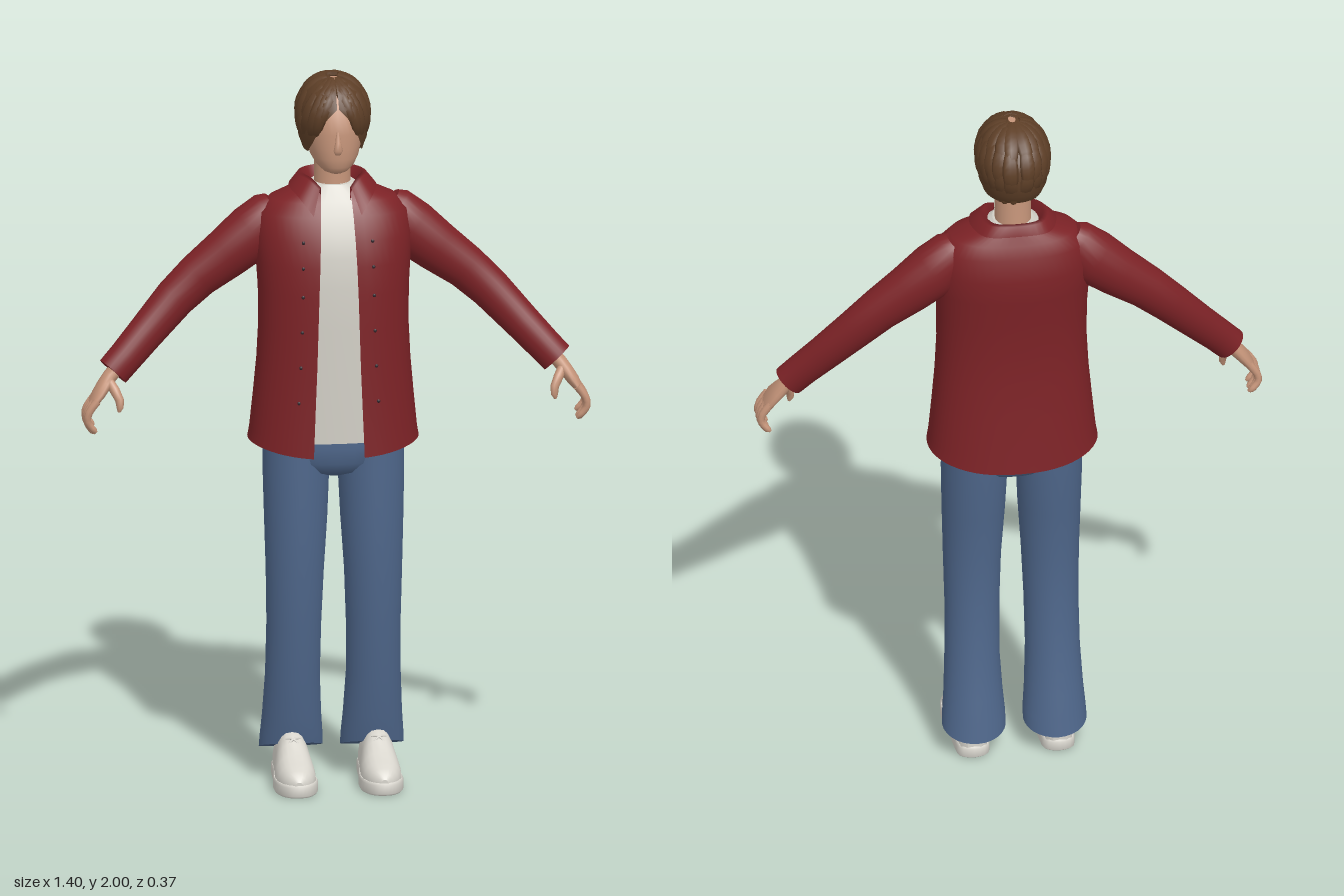
import * as THREE from 'three';

const V = (x, y, z) => new THREE.Vector3(x, y, z);
const mat = (name, color, side = THREE.FrontSide) => {
  const m = new THREE.MeshStandardMaterial({ color, side });
  m.name = name;
  return m;
};

// Skin a list of rings; closed rings get end caps and are turned outward by their signed volume
function loft(rings, closed = true) {
  const n = rings[0].length, pts = rings.flat(), idx = [];
  const cols = closed ? n : n - 1;
  for (let i = 0; i < rings.length - 1; i++)
    for (let j = 0; j < cols; j++) {
      const a = i * n + j, b = i * n + (j + 1) % n, c = a + n, d = b + n;
      idx.push(a, b, c, b, d, c);
    }
  if (closed) {
    [0, rings.length - 1].forEach((r, k) => {
      const base = pts.length, mid = V(0, 0, 0);
      rings[r].forEach(p => { mid.addScaledVector(p, 1 / n); pts.push(p.clone()); });
      pts.push(mid);
      for (let j = 0; j < n; j++) {
        const a = base + j, b = base + (j + 1) % n;
        k ? idx.push(a, b, base + n) : idx.push(b, a, base + n);
      }
    });
    let vol = 0;
    const cross = V(0, 0, 0);
    for (let i = 0; i < idx.length; i += 3)
      vol += pts[idx[i]].dot(cross.crossVectors(pts[idx[i + 1]], pts[idx[i + 2]]));
    if (vol < 0) idx.reverse();
  }
  const g = new THREE.BufferGeometry().setFromPoints(pts);
  g.setIndex(idx);
  g.computeVertexNormals();
  return g;
}

// Point on a rounded cross-section row [y, halfWidth, zFront, zBack]; angle 0 faces the front
function section([y, w, zf, zb], t, p) {
  const s = Math.sin(t), c = Math.cos(t);
  return V(w * Math.sign(s) * Math.abs(s) ** p, y,
    (zf + zb) / 2 + (zf - zb) / 2 * Math.sign(c) * Math.abs(c) ** p);
}
const solid = (rows, p = 1, n = 32) => loft(rows.map(r =>
  Array.from({ length: n }, (_, j) => section(r, j / n * Math.PI * 2, p))));

// Shell with a front opening; the fifth row value is the half opening
const shellStart = (r, p) => Math.asin((r[4] / r[1]) ** (1 / p));
function shell(rows, p, hem = 0, n = 48) {
  return loft(rows.map((r, i) => Array.from({ length: n + 1 }, (_, j) => {
    const t0 = shellStart(r, p), t = t0 + (Math.PI * 2 - 2 * t0) * j / n;
    const v = section(r, t, p);
    if (i === 0) v.y += hem * Math.sin(t) ** 2;
    return v;
  })), false);
}

// Sweep an ellipse along points; widths lie across the path, heights along outAt(i)
function sweep(pts, widths, heights, outAt, n = 16) {
  return loft(pts.map((c, i) => {
    const T = pts[Math.min(i + 1, pts.length - 1)].clone().sub(pts[Math.max(i - 1, 0)]).normalize();
    const side = T.clone().cross(outAt(i)).normalize(), out = side.clone().cross(T);
    return Array.from({ length: n }, (_, j) => {
      const a = j / n * Math.PI * 2;
      return c.clone().addScaledVector(side, widths[i] * Math.cos(a)).addScaledVector(out, heights[i] * Math.sin(a));
    });
  }));
}

export function createModel() {
  const model = new THREE.Group();
  const red = mat('shirtRed', 0x7c2226, THREE.DoubleSide), denim = mat('denimBlue', 0x4e668a);
  const white = mat('teeWhite', 0xd2cfc6), shoeWhite = mat('shoeWhite', 0xd8d5cd);
  const skin = mat('skin', 0xc6957a), brown = mat('hairBrown', 0x5e3f27, THREE.DoubleSide);
  const dark = mat('buttonDark', 0x33262c);
  const add = (name, g, m, parent = model) => {
    const mesh = new THREE.Mesh(g, m);
    mesh.name = name;
    parent.add(mesh);
    return mesh;
  };
  const zAxis = () => V(0, 0, 1);

  // Open overshirt
  const shirt = [
    [0.942, .235, .12, -.186, .07], [1.0, .23, .118, -.18, .068], [1.1, .22, .115, -.17, .064],
    [1.2, .211, .114, -.162, .06], [1.3, .206, .113, -.158, .057], [1.4, .207, .112, -.162, .054],
    [1.48, .212, .107, -.168, .051], [1.55, .216, .094, -.172, .048], [1.615, .206, .07, -.158, .045],
    [1.65, .172, .05, -.143, .043], [1.68, .1, .025, -.13, .04]];
  add('overshirt', shell(shirt, .85, .03), red);
  for (const s of [-1, 1])
    for (const r of shirt.slice(2, 8)) {
      const t = s * (shellStart(r, .85) + .22);
      const b = add('button', new THREE.SphereGeometry(.005, 10, 6), dark);
      b.scale.z = .5;
      b.position.copy(section(r, t, .85));
    }

  // Folded collar: stand, fold and outer edge, mirrored around the neck
  const around = half => {
    const pts = half.map(p => V(...p));
    const other = pts.slice(0, -1).reverse().map(p => V(-p.x, p.y, p.z));
    return new THREE.CatmullRomCurve3([...pts, ...other]).getPoints(40);
  };
  add('collar', loft([
    [[.04, 1.65, .03], [.055, 1.665, 0], [.066, 1.67, -.05], [.05, 1.67, -.1], [0, 1.67, -.115]],
    [[.04, 1.69, .03], [.062, 1.71, 0], [.082, 1.715, -.05], [.062, 1.715, -.115], [0, 1.717, -.132]],
    [[.045, 1.685, .036], [.072, 1.707, .002], [.095, 1.71, -.05], [.072, 1.711, -.122], [0, 1.713, -.14]],
    [[.066, 1.622, .078], [.102, 1.665, .03], [.12, 1.68, -.05], [.088, 1.683, -.132], [0, 1.685, -.148]]
  ].map(around), false), red);

  // Undershirt, hips and neck
  add('undershirt', solid([[.978, .19, .09, -.13], [1.3, .185, .094, -.14], [1.42, .188, .092, -.145],
    [1.5, .19, .085, -.15], [1.56, .19, .072, -.15], [1.615, .17, .05, -.13], [1.65, .12, .034, -.12],
    [1.692, .056, .012, -.112]], .85), white);
  add('hips', solid([[.87, .03, .02, -.07], [.885, .1, .055, -.105], [.915, .18, .073, -.125],
    [.96, .195, .079, -.128], [1.02, .185, .076, -.125]], .85), denim);
  add('neck', solid([[1.62, .056, .01, -.11], [1.69, .05, .002, -.102], [1.8, .05, .005, -.1]]), skin);

  // Head and nose
  add('head', solid([[1.736, .018, .056, .01], [1.742, .034, .067, -.015], [1.757, .052, .076, -.06],
    [1.78, .066, .081, -.1], [1.81, .074, .083, -.12], [1.85, .08, .083, -.13], [1.9, .08, .08, -.135],
    [1.95, .065, .05, -.11], [1.98, .03, .01, -.07]], .92), skin);
  add('nose', sweep([V(0, 1.86, .08), V(0, 1.83, .086), V(0, 1.81, .09), V(0, 1.798, .084)],
    [.004, .008, .013, .008], [.004, .007, .009, .004], zAxis, 12), skin);

  // Hair: parted cap covered with tapering locks
  const hair = new THREE.Group();
  hair.name = 'hair';
  model.add(hair);
  add('hairCap', shell([[1.79, .082, .06, -.14, .074], [1.82, .093, .075, -.16, .066], [1.86, .098, .084, -.167, .052],
    [1.9, .097, .088, -.165, .027], [1.925, .092, .086, -.155, .003], [1.96, .075, .064, -.13, .002],
    [1.982, .048, .03, -.09, .001], [1.992, .01, -.01, -.045, .0005]], .95), brown, hair);
  const C = V(0, 1.885, -.04);
  const onHead = (th, el) => {
    const c = el < 0 ? Math.max(Math.cos(el), .78) : Math.cos(el);
    return V(.096 * c * Math.sin(th), 1.885 + .107 * Math.sin(el), -.04 + .128 * c * Math.cos(th));
  };
  const lock = (th0, el0, th1, el1, w) => {
    const pts = [], ws = [], hs = [];
    for (let i = 0; i <= 8; i++) {
      const u = i / 8, k = .12 + .88 * Math.sin(Math.PI * (.12 + .86 * u)) ** .7;
      pts.push(onHead(th0 + (th1 - th0) * u, el0 + (el1 - el0) * u));
      ws.push(w * k);
      hs.push(.01 * k);
    }
    add('hairLock', sweep(pts, ws, hs, i => pts[i].clone().sub(C).normalize(), 8), brown, hair);
  };
  let seed = 7;
  const rand = () => (seed = seed * 16807 % 2147483647) / 2147483647;
  for (const s of [-1, 1]) {
    // Fringe swept from the parting to the temples
    lock(s * .12, 1.0, s * .52, -.1, .017);
    lock(s * .15, 1.2, s * .75, -.55, .02);
    lock(s * .3, 1.25, s * .98, -.85, .021);
    lock(s * .6, 1.2, s * 1.3, -1.0, .021);
    // Upper, middle and lower tiers around the sides and back
    for (const [e0, e1, count] of [[1.35, .2, 5], [.75, -.45, 6], [.1, -1.1, 7]])
      for (let k = 0; k < count; k++) {
        const th = 1.25 + (k + .5) / count * 1.85;
        lock(s * (th - .1), e0 + rand() * .15, s * (th + .2 * (rand() - .5)), e1 + (rand() - .5) * .3, .022);
      }
  }

  for (const s of [-1, 1]) {
    const side = s > 0 ? 'left' : 'right';
    const P = (x, y, z) => V(s * x, y, z);

    // Sleeve
    const arm = [[.15, 1.618, -.06, .05], [.165, 1.603, -.06, .066], [.215, 1.55, -.06, .079], [.29, 1.49, -.058, .071],
      [.37, 1.43, -.054, .062], [.435, 1.37, -.046, .057], [.52, 1.28, -.018, .051], [.575, 1.222, .002, .048], [.612, 1.183, .012, .047]];
    add(side + 'Sleeve', sweep(arm.map(a => P(a[0], a[1], a[2])), arm.map(a => a[3]),
      arm.map(a => a[3] * .85), zAxis, 24), red);

    // Hand, fingers and thumb
    const hand = new THREE.Group();
    hand.name = side + 'Hand';
    model.add(hand);
    add('palm', sweep([P(.59, 1.205, .01), P(.62, 1.172, .014), P(.637, 1.15, .022), P(.655, 1.125, .032), P(.672, 1.1, .037)],
      [.021, .02, .019, .017, .011], [.025, .025, .034, .041, .04], zAxis), skin, hand);
    for (let f = 0; f < 4; f++) {
      const z = .006 + f * .021, tip = [.012, 0, 0, .008][f];
      const path = new THREE.CatmullRomCurve3([P(.662, 1.115, z), P(.684, 1.085, z + .001),
        P(.689, 1.055 + tip / 2, z), P(.676, 1.03 + tip, z - .003), P(.664, 1.018 + tip, z - .004)]).getPoints(8);
      const r = path.map((_, i) => i === 8 ? .004 : .0115 - i * .0004);
      add('finger', sweep(path, r, r, zAxis, 10), skin, hand);
    }
    add('thumb', sweep([P(.627, 1.165, .03), P(.612, 1.14, .052), P(.6, 1.115, .064), P(.599, 1.095, .068), P(.602, 1.082, .068)],
      [.012, .014, .012, .01, .004], [.012, .014, .012, .01, .004], zAxis, 10), skin, hand);

    // Trouser leg: [y, inner x, outer x, back z, front z]
    const legRows = [[.96, .012, .194, -.125, .074], [.88, .012, .195, -.121, .074], [.75, .018, .192, -.108, .074],
      [.6, .028, .188, -.092, .068], [.45, .034, .185, -.096, .055], [.3, .036, .187, -.108, .038],
      [.18, .03, .193, -.13, .02], [.12, .025, .198, -.142, .01], [.085, .024, .2, -.15, .005]];
    add(side + 'TrouserLeg', loft(legRows.map(([y, x0, x1, z0, z1], i) => Array.from({ length: 28 }, (_, j) => {
      const a = j / 28 * Math.PI * 2, tilt = i === 8 ? .025 : i === 7 ? .012 : 0;
      return P((x0 + x1) / 2 + (x1 - x0) / 2 * Math.sin(a), y + tilt * Math.cos(a), (z0 + z1) / 2 + (z1 - z0) / 2 * Math.cos(a));
    }))), denim);

    // Shoe: flat sole, rounded upper and crossed laces
    const shoe = new THREE.Group();
    shoe.name = side + 'Shoe';
    shoe.position.x = s * .118;
    model.add(shoe);
    const outline = [[0, -.127], [.038, -.112], [.047, -.06], [.05, 0], [.059, .08], [.052, .14], [.028, .176], [0, .184]];
    const loop = [...outline, ...outline.slice(1, -1).reverse().map(([x, z]) => [-x, z])];
    const soleRing = (k, y) => new THREE.CatmullRomCurve3(loop.map(([x, z]) => V(x * k, y, .03 + (z - .03) * k)), true)
      .getPoints(40).slice(0, 40);
    add('sole', loft([soleRing(.97, 0), soleRing(1.02, .006), soleRing(1.02, .03), soleRing(.97, .036)]), shoeWhite, shoe);
    const upper = [[-.123, .018, .07], [-.112, .036, .1], [-.08, .044, .13], [-.02, .047, .145], [.02, .05, .143], [.05, .053, .122],
      [.085, .056, .098], [.125, .053, .083], [.155, .041, .071], [.172, .026, .058], [.18, .01, .045]];
    add('upper', loft(upper.map(([z, w, h]) => Array.from({ length: 24 }, (_, j) => {
      const a = j / 24 * Math.PI * 2, c = Math.sin(a);
      return V(w * Math.sign(Math.cos(a)) * Math.abs(Math.cos(a)) ** .8, .033 + (c > 0 ? (h - .033) * c : .008 * c), z);
    }))), shoeWhite, shoe);
    for (const z of [.03, .055])
      for (const d of [-1, 1]) {
        const h = q => .205 - q * 1.1 * .95 - (.06 - q * .2) * .0 - .036;
        const lace = [V(-.02 * d, h(z) - .008, z), V(0, h(z + .01) + .003, z + .01), V(.02 * d, h(z + .02) - .006, z + .02)];
        add('lace', new THREE.TubeGeometry(new THREE.CatmullRomCurve3(lace), 8, .0035, 6), shoeWhite, shoe);
      }
  }
  return model;
}
